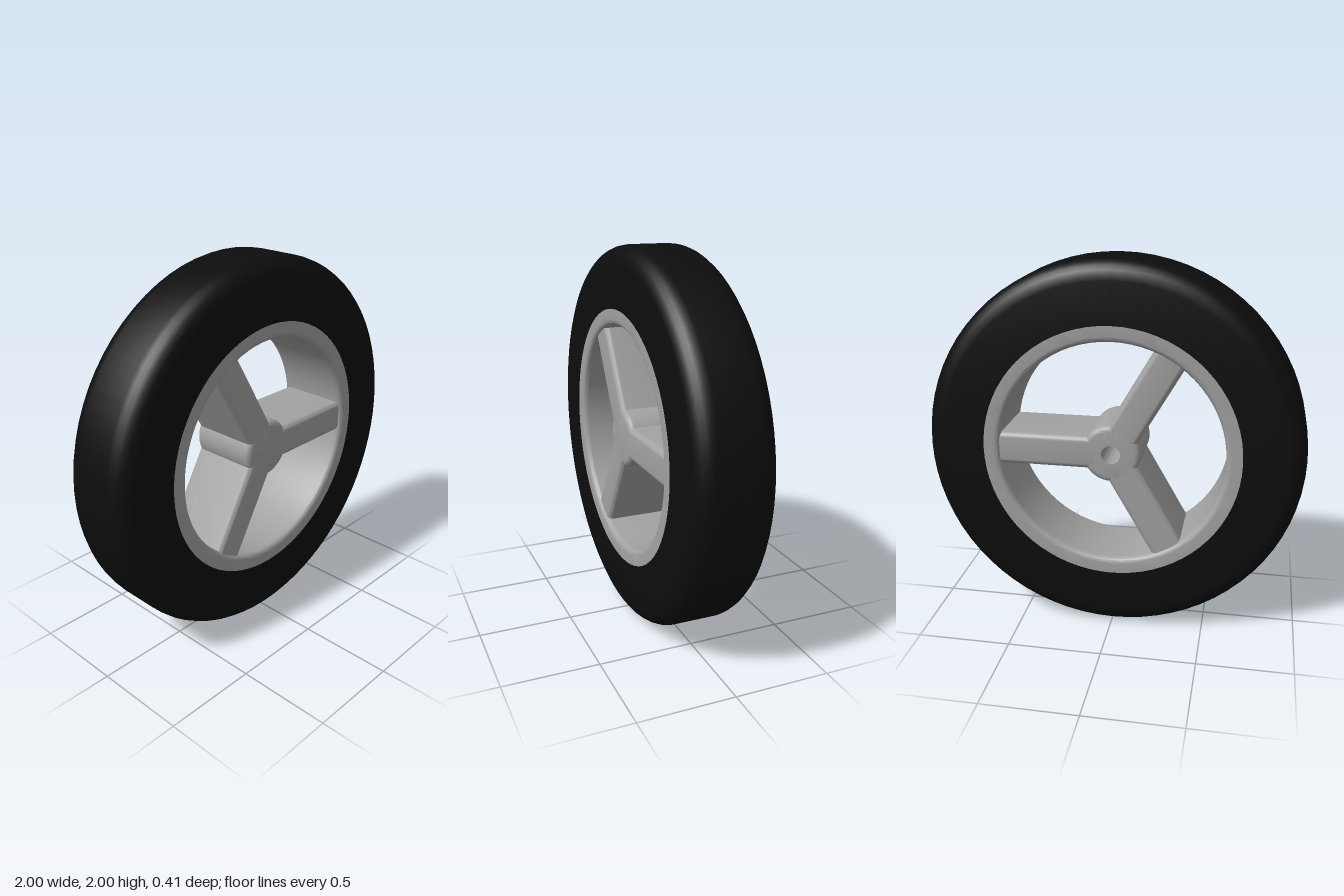
import * as THREE from 'three';
import { toCreasedNormals } from 'three/addons/utils/BufferGeometryUtils.js';

const CENTRE_Y = 1;
const HALF_WIDTH = 0.205;
const SPOKE_HALF_DEPTH = 0.19;

// Corners are [x, y, fillet]; every filleted corner is a right angle.
function roundedOutline(corners, closed, steps = 6) {
  const points = [];
  const n = corners.length;
  corners.forEach(([x, y, fillet = 0], i) => {
    const p = new THREE.Vector2(x, y);
    if (!fillet) {
      points.push(p);
      return;
    }
    const before = corners[(i + n - 1) % n];
    const after = corners[(i + 1) % n];
    const dirIn = p.clone().sub(new THREE.Vector2(before[0], before[1])).normalize();
    const dirOut = new THREE.Vector2(after[0], after[1]).sub(p).normalize();
    const centre = p.clone().addScaledVector(dirIn, -fillet).addScaledVector(dirOut, fillet);
    for (let s = 0; s <= steps; s++) {
      const t = (s / steps) * Math.PI / 2;
      points.push(centre.clone()
        .addScaledVector(dirOut, -fillet * Math.cos(t))
        .addScaledVector(dirIn, fillet * Math.sin(t)));
    }
  });
  if (closed) points.push(points[0].clone());
  return points;
}

// Turned part whose axis runs along z
function turned(name, corners, closed, segments, material) {
  const geometry = new THREE.LatheGeometry(roundedOutline(corners, closed), segments);
  geometry.rotateX(Math.PI / 2);
  const mesh = new THREE.Mesh(toCreasedNormals(geometry, 0.6), material);
  mesh.name = name;
  return mesh;
}

export function createModel() {
  const rubber = new THREE.MeshStandardMaterial({ color: 0x0d0d0d });
  rubber.name = 'black rubber';
  const metal = new THREE.MeshStandardMaterial({ color: 0xa2a2a2 });
  metal.name = 'grey metal';

  const wheel = new THREE.Group();
  wheel.name = 'wheel';
  const w = HALF_WIDTH;
  const d = SPOKE_HALF_DEPTH;

  // Tyre with rounded shoulders
  wheel.add(turned('tyre', [
    [0.68, -w], [1, -w, 0.1], [1, w, 0.1], [0.68, w],
  ], true, 72, rubber));

  // Rim ring, rounded on its inner edges
  wheel.add(turned('rim', [
    [0.68, -w], [0.68, w], [0.595, w, 0.03], [0.595, -w, 0.03],
  ], true, 72, metal));

  // Hub with a blind axle hole in the back
  wheel.add(turned('hub', [
    [0, 0.1], [0.05, 0.1], [0.05, -d], [0.155, -d, 0.03], [0.155, d, 0.03], [0, d],
  ], false, 48, metal));

  // Three deep spokes with rounded long edges
  const h = 0.0875;
  const section = new THREE.Shape(roundedOutline([
    [-d, -h, 0.03], [d, -h, 0.03], [d, h, 0.03], [-d, h, 0.03],
  ], false));
  let bar = new THREE.ExtrudeGeometry(section, { depth: 0.55, bevelEnabled: false });
  bar.translate(0, 0, 0.09);
  bar.rotateY(Math.PI / 2);
  bar = toCreasedNormals(bar, 0.6);
  for (let i = 0; i < 3; i++) {
    const spoke = new THREE.Mesh(bar, metal);
    spoke.name = 'spoke' + (i + 1);
    spoke.rotation.z = (i * Math.PI * 2) / 3;
    wheel.add(spoke);
  }

  wheel.position.y = CENTRE_Y;
  const model = new THREE.Group();
  model.name = 'spoked wheel';
  model.add(wheel);
  return model;
}
